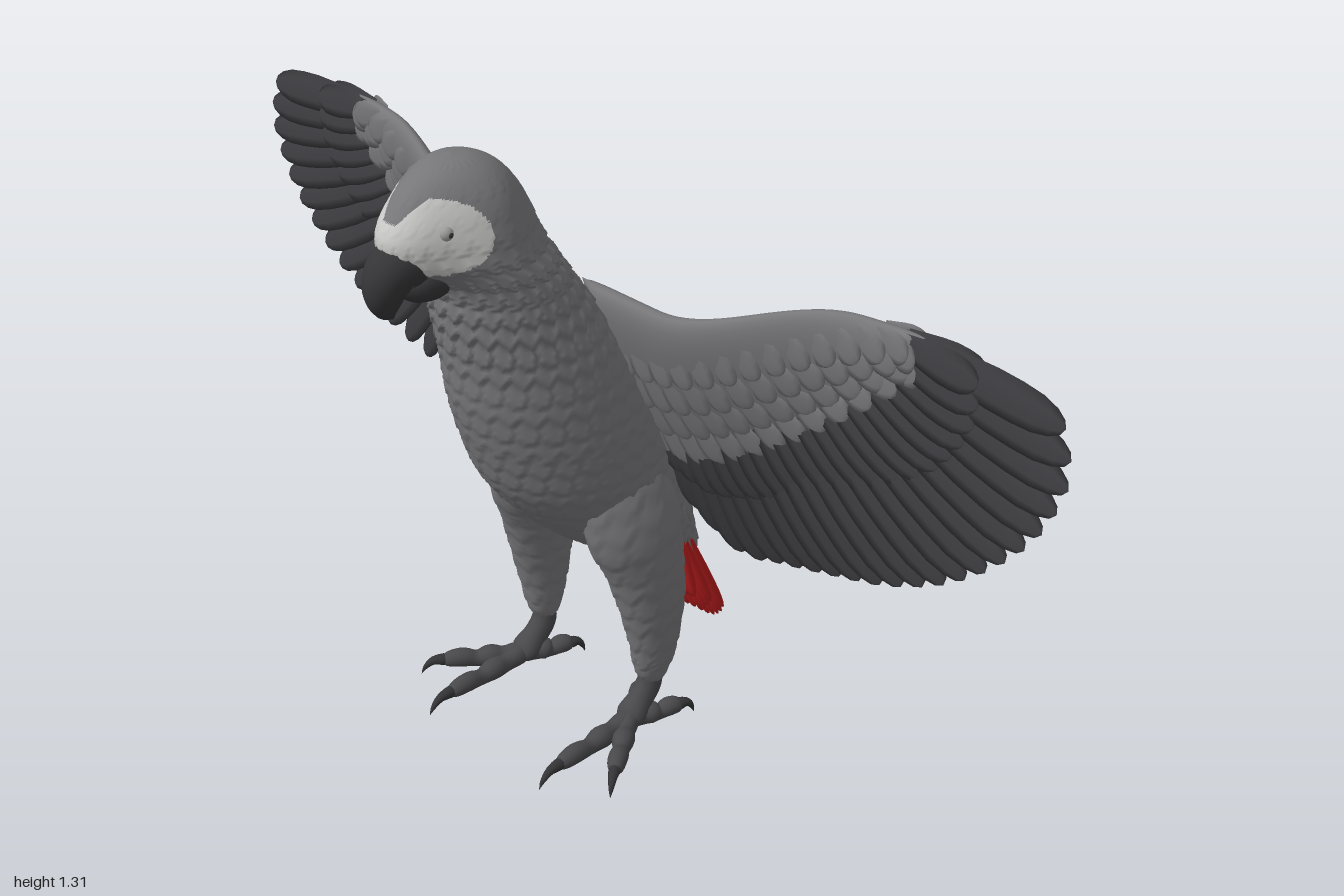
import * as THREE from 'three';
import { mergeGeometries } from 'three/addons/utils/BufferGeometryUtils.js';

const V = (x, y, z) => new THREE.Vector3(x, y, z);
const curve = (pts) => new THREE.CatmullRomCurve3(pts, false, 'centripetal');
const smooth = THREE.MathUtils.smoothstep;
const lerp = THREE.MathUtils.lerp;

const paint = (name, color) => {
  const m = new THREE.MeshStandardMaterial({ color });
  m.name = name;
  return m;
};

// Closed-around surface from f(u, v); outward when u turns right-handed about v
function surface(f, nu, nv) {
  const pos = [], idx = [];
  for (let j = 0; j <= nv; j++) {
    for (let i = 0; i < nu; i++) pos.push(...f(i / nu, j / nv).toArray());
  }
  for (let j = 0; j < nv; j++) {
    for (let i = 0; i < nu; i++) {
      const k = (i + 1) % nu, a = j * nu + i, b = j * nu + k;
      idx.push(a, b, b + nu, a, b + nu, a + nu);
    }
  }
  const g = new THREE.BufferGeometry();
  g.setAttribute('position', new THREE.Float32BufferAttribute(pos, 3));
  g.setIndex(idx);
  g.computeVertexNormals();
  return g;
}

// Elliptical sections along a path; rows are [x, y, z, sideRadius, otherRadius]
function loft(rows, side, nu, nv, { tangent, bump } = {}) {
  const path = new THREE.CatmullRomCurve3(rows.map((r) => V(r[0], r[1], r[2])), false, 'catmullrom', 0.5);
  const size = new THREE.CatmullRomCurve3(rows.map((r) => V(r[3], r[4], 0)), false, 'catmullrom', 0.5);
  return surface((u, v) => {
    const p = path.getPoint(v), r = size.getPoint(v), t = tangent || path.getTangent(v);
    const A = side.clone().addScaledVector(t, -side.dot(t)).normalize();
    const B = t.clone().cross(A);
    const d = bump ? bump(u, p.y) * Math.min(1, r.x / 0.04) : 0, a = u * Math.PI * 2;
    return p.addScaledVector(A, (Math.max(r.x, 0) + d) * Math.cos(a))
      .addScaledVector(B, (Math.max(r.y, 0) + d) * Math.sin(a));
  }, nu, nv);
}

// Overlapping scale pattern: each scale thickens toward its rounded lower edge
const scales = (cols, rowH, amp) => (u, y) => {
  const t = (1.32 - y) / rowH;
  let k = Math.floor(t), f = t - k;
  const edge = (n) => 0.55 * Math.abs(Math.cos(Math.PI * (u * cols + n / 2)));
  if (f < edge(k)) { k -= 1; f += 1; }
  return amp(y) * ((f - edge(k)) / (1 + edge(k + 1) - edge(k)) - 0.5);
};

// Ridged blade from base to tip, lying across the given normal
function feather(base, tip, width, thick, normal) {
  const dir = tip.clone().sub(base).normalize();
  const side = normal.clone().cross(dir).normalize();
  const up = dir.clone().cross(side);
  return surface((u, v) => {
    const s = Math.sin(v * Math.PI / 2), a = u * Math.PI * 2;
    const w = Math.min(1, 0.5 + s) * Math.sqrt(Math.max(0, 1 - Math.max(0, (s - 0.72) / 0.28) ** 2));
    return base.clone().lerp(tip, s)
      .addScaledVector(side, width / 2 * w * Math.cos(a))
      .addScaledVector(up, thick / 2 * w * Math.sin(a));
  }, 6, 8);
}

function mirrored(g) {
  const m = g.clone().scale(-1, 1, 1), ix = m.index.array;
  for (let i = 0; i < ix.length; i += 3) [ix[i], ix[i + 1]] = [ix[i + 1], ix[i]];
  m.computeVertexNormals();
  return m;
}

// Wing sheet: leading edge height, covert edge height, depth and half thickness
const wingTop = (x) => 0.98 + 0.108 * smooth(x, 0.2, 0.58);
const wingLow = (x) => 0.6 + 0.43 * Math.max(0, (x - 0.05) / 0.65) ** 1.7;
const wingZ = (x, y) => lerp(-0.04 - 0.095 * smooth(x, 0.2, 0.7), -0.22 + 0.08 * x, (wingTop(x) - y) / 0.5);
const wingHalf = (x, s) => lerp(0.055, 0.028, Math.min(1, x / 0.65)) * 2 * Math.sqrt(Math.max(0, s * (1 - s))) * (1 - 0.5 * s);

export function createModel() {
  const model = new THREE.Group();
  model.name = 'parrot';
  const grey = paint('grey plumage', 0x77777a), dark = paint('dark flight feathers', 0x3d3d41);
  const red = paint('red tail', 0xb81c1c), white = paint('pale face', 0xc9c9c7);
  const horn = paint('beak and claws', 0x353537), skin = paint('foot skin', 0x49494c);
  const iris = paint('iris', 0x9c9c98);
  const add = (name, geo, mat) => {
    const m = new THREE.Mesh(geo, mat);
    m.name = name;
    model.add(m);
  };
  const pair = (name, geo, mat) => {
    add('left' + name, geo, mat);
    add('right' + name, mirrored(geo), mat);
  };

  // Head and body: height, front z, back z, half width
  const body = [
    [1.31, 0.25, 0.25, 0], [1.304, 0.29, 0.21, 0.035], [1.285, 0.335, 0.17, 0.067], [1.25, 0.375, 0.135, 0.096],
    [1.2, 0.405, 0.105, 0.116], [1.15, 0.388, 0.085, 0.125], [1.11, 0.325, 0.065, 0.13], [1.07, 0.285, 0.04, 0.134],
    [1.0, 0.268, -0.01, 0.138], [0.9, 0.245, -0.08, 0.152], [0.8, 0.228, -0.145, 0.167], [0.7, 0.198, -0.2, 0.176],
    [0.6, 0.155, -0.24, 0.175], [0.5, 0.075, -0.275, 0.163], [0.42, -0.01, -0.305, 0.143], [0.35, -0.11, -0.33, 0.118],
    [0.29, -0.21, -0.352, 0.09], [0.24, -0.32, -0.365, 0.05], [0.23, -0.35, -0.35, 0],
  ].map(([y, f, b, w]) => [0, y, (f + b) / 2, w, (f - b) / 2]);
  const amp = (y) => 0.001 + 0.01 * smooth(1.22 - y, 0, 0.14) - 0.006 * smooth(0.98 - y, 0, 0.15);
  const bodyGeo = loft(body, V(1, 0, 0), 144, 240, { tangent: V(0, -1, 0), bump: scales(24, 0.042, amp) });

  // Narrow the face toward the beak
  const p = bodyGeo.attributes.position;
  for (let i = 0; i < p.count; i++) {
    p.setX(i, p.getX(i) * (1 - 0.28 * smooth(p.getZ(i), 0.2, 0.36) * smooth(p.getY(i), 1.06, 1.14)));
  }
  bodyGeo.computeVertexNormals();

  // Bare face patch around the eyes and over the beak
  const ix = bodyGeo.index.array, plain = [], face = [];
  for (let i = 0; i < ix.length; i += 3) {
    const t = [ix[i], ix[i + 1], ix[i + 2]];
    const mid = (get) => (get(t[0]) + get(t[1]) + get(t[2])) / 3;
    const x = mid((n) => p.getX(n)), y = mid((n) => p.getY(n)), z = mid((n) => p.getZ(n));
    const cheek = ((z - 0.34) / 0.085) ** 2 + ((y - 1.203) / 0.066) ** 2 < 1;
    const bridge = z > 0.34 && y > 1.155 && y < 1.235;
    const brow = y > 1.23 && Math.abs(x) < 0.015 + (y - 1.23) * 0.6;
    ((cheek || bridge) && !brow ? face : plain).push(...t);
  }
  bodyGeo.setIndex([...plain, ...face]);
  bodyGeo.addGroup(0, plain.length, 0);
  bodyGeo.addGroup(plain.length, face.length, 1);
  add('body', bodyGeo, [grey, white]);

  // Eyes
  const ball = (r, x) => new THREE.SphereGeometry(r, 16, 12).translate(x, 1.213, 0.325);
  pair('Eye', ball(0.014, 0.066), iris);
  pair('Pupil', ball(0.006, 0.0755), horn);

  // Hooked upper beak and cupped lower beak
  add('upperBeak', loft([[0, 1.16, 0.32, 0, 0], [0, 1.155, 0.345, 0.048, 0.042], [0, 1.145, 0.385, 0.046, 0.046],
    [0, 1.115, 0.403, 0.037, 0.042], [0, 1.08, 0.402, 0.022, 0.026], [0, 1.052, 0.388, 0, 0]], V(1, 0, 0), 20, 30), horn);
  add('lowerBeak', loft([[0, 1.12, 0.28, 0, 0], [0, 1.11, 0.3, 0.046, 0.04], [0, 1.104, 0.335, 0.042, 0.037],
    [0, 1.112, 0.358, 0.028, 0.024], [0, 1.13, 0.37, 0, 0]], V(1, 0, 0), 20, 20), horn);

  // Feathered legs and bare shanks
  pair('Leg', loft([[0.1, 0.68, -0.03, 0, 0], [0.105, 0.62, -0.035, 0.05, 0.08], [0.13, 0.5, -0.065, 0.073, 0.105],
    [0.145, 0.4, -0.088, 0.066, 0.088], [0.153, 0.3, -0.105, 0.056, 0.075], [0.155, 0.2, -0.112, 0.044, 0.056],
    [0.152, 0.13, -0.112, 0.032, 0.04], [0.15, 0.1, -0.11, 0.02, 0.02], [0.15, 0.095, -0.11, 0, 0]],
  V(1, 0, 0), 48, 90, { bump: scales(8, 0.05, () => 0.004) }), grey);
  pair('Shank', loft([[0.152, 0.14, -0.112, 0.02, 0.02], [0.15, 0.09, -0.108, 0.024, 0.028], [0.15, 0.06, -0.085, 0.025, 0.028],
    [0.152, 0.033, -0.05, 0.03, 0.026], [0.155, 0.025, -0.02, 0, 0]], V(1, 0, 0), 16, 20), skin);

  // Two toes forward, two back, each with knuckles and a curved claw
  const toes = [], claws = [];
  for (const [x, z] of [[0.158, 0.21], [0.272, 0.13], [0.085, -0.165], [0.21, -0.18]]) {
    const root = V(0.152, 0.03, -0.05), d = V(x, 0.03, z).sub(root), side = V(0, 1, 0).cross(d).normalize();
    const at = (s, y, r) => [root.x + d.x * s, y, root.z + d.z * s, r, r];
    toes.push(loft([at(0, 0.03, 0), at(0.04, 0.03, 0.021), at(0.2, 0.027, 0.019), at(0.33, 0.03, 0.023), at(0.46, 0.027, 0.017),
      at(0.6, 0.034, 0.02), at(0.75, 0.033, 0.015), at(0.82, 0.032, 0)], side, 12, 24));
    claws.push(loft([at(0.73, 0.034, 0), at(0.76, 0.034, 0.012), at(0.88, 0.034, 0.009), at(0.96, 0.02, 0.005), at(1, 0.004, 0)], side, 8, 10));
  }
  pair('Toes', mergeGeometries(toes), skin);
  pair('Claws', mergeGeometries(claws), horn);

  // Wing arm: tapered aerofoil closing at both ends
  pair('WingArm', surface((u, v) => {
    const x = 0.02 + 0.68 * v, a = u * Math.PI * 2, s = (1 - Math.cos(a)) / 2;
    const end = Math.sqrt(Math.max(0, 1 - Math.max(0, (v - 0.88) / 0.12, (0.1 - v) / 0.1) ** 2));
    const y = lerp(wingTop(x), wingLow(x), s);
    return V(x, y, wingZ(x, y) + Math.sign(Math.sin(a)) * wingHalf(x, s) * end);
  }, 32, 40), grey);

  // Flight feathers fanned between a root line and a tip line, with shorter rows over both faces
  const roots = curve([V(0.66, 1.07, 0), V(0.63, 1.0, 0), V(0.55, 0.92, 0), V(0.45, 0.85, 0), V(0.33, 0.77, 0), V(0.17, 0.68, 0)]);
  const tips = curve([V(0.975, 1.035, 0), V(0.997, 0.95, 0), V(0.96, 0.83, 0), V(0.89, 0.73, 0), V(0.79, 0.635, 0), V(0.67, 0.56, 0),
    V(0.53, 0.5, 0), V(0.39, 0.445, 0), V(0.28, 0.41, 0), V(0.185, 0.47, 0)]);
  const onWing = (q, dz = 0) => V(q.x, q.y, wingZ(q.x, q.y) + dz);
  const flight = [], N = 22;
  for (let i = 0; i < N; i++) {
    const a = roots.getPointAt(i / (N - 1)), b = tips.getPointAt(i / (N - 1));
    const c = a.clone().lerp(b, 0.5), n = V(0.25, 0.2, 1);
    flight.push(feather(onWing(a), onWing(b), 0.073, 0.016, n));
    for (const f of [-1, 1]) flight.push(feather(onWing(a, f * 0.01), onWing(c, f * 0.014), 0.064, 0.009, n));
  }
  pair('FlightFeathers', mergeGeometries(flight), dark);

  // Covert feathers in overlapping rows on both wing faces
  const coverts = [];
  for (let r = 0; r < 4; r++) {
    for (let i = 0; i < 13; i++) {
      const x = 0.1 + (i + (r % 2) / 2) * 0.043, s = 0.1 + 0.2 * r, x2 = x + 0.02 + 0.05 * (x / 0.6);
      for (const f of [-1, 1]) {
        const at = (px, q, lift) => {
          const y = lerp(wingTop(px), wingLow(px), q);
          return V(px, y, wingZ(px, y) + f * (Math.max(0.013, wingHalf(px, Math.min(q, 0.97))) + lift));
        };
        coverts.push(feather(at(x, s, -0.006), at(Math.min(x2, 0.7), s + 0.36, 0.005), 0.058, 0.009, V(0, 0, 1)));
      }
    }
  }
  pair('WingCoverts', mergeGeometries(coverts), grey);

  // Red tail fan: three layers, longest on the back
  const tail = [], rump = [];
  for (let i = -5; i <= 5; i++) {
    const k = i / 5, kk = k * k, n = V(k * 0.4, 0.42, -0.9);
    tail.push(feather(V(0.085 * k, 0.4, -0.285 + 0.04 * kk), V(0.1 * k, 0.012 + 0.09 * kk, -0.437 + 0.05 * kk), 0.044, 0.018, n));
    tail.push(feather(V(0.1 * k, 0.4, -0.255 + 0.03 * kk), V(0.105 * k, 0.055 + 0.09 * kk, -0.39 + 0.05 * kk), 0.042, 0.018, n));
    tail.push(feather(V(0.11 * k, 0.38 + 0.04 * kk, -0.24 + 0.03 * kk), V(0.12 * k, 0.14 + 0.06 * kk, -0.325 + 0.055 * kk), 0.04, 0.018, n));
  }
  add('tailFeathers', mergeGeometries(tail), red);

  // Rump feathers overlapping the tail root
  for (let r = 0; r < 4; r++) {
    for (let i = -3; i <= 3; i++) {
      const k = (i + (r % 2) * 0.5) / 3.5, y = 0.55 - r * 0.055, w = 0.13 - r * 0.015;
      const z = -0.26 - r * 0.021 + 0.075 * k * k;
      rump.push(feather(V(w * k, y, z), V(w * k * 0.95, y - 0.13 + 0.03 * k * k, z - 0.053), 0.06, 0.014, V(k * 0.7, 0.4, -0.9)));
    }
  }
  add('rumpFeathers', mergeGeometries(rump), grey);

  return model;
}
